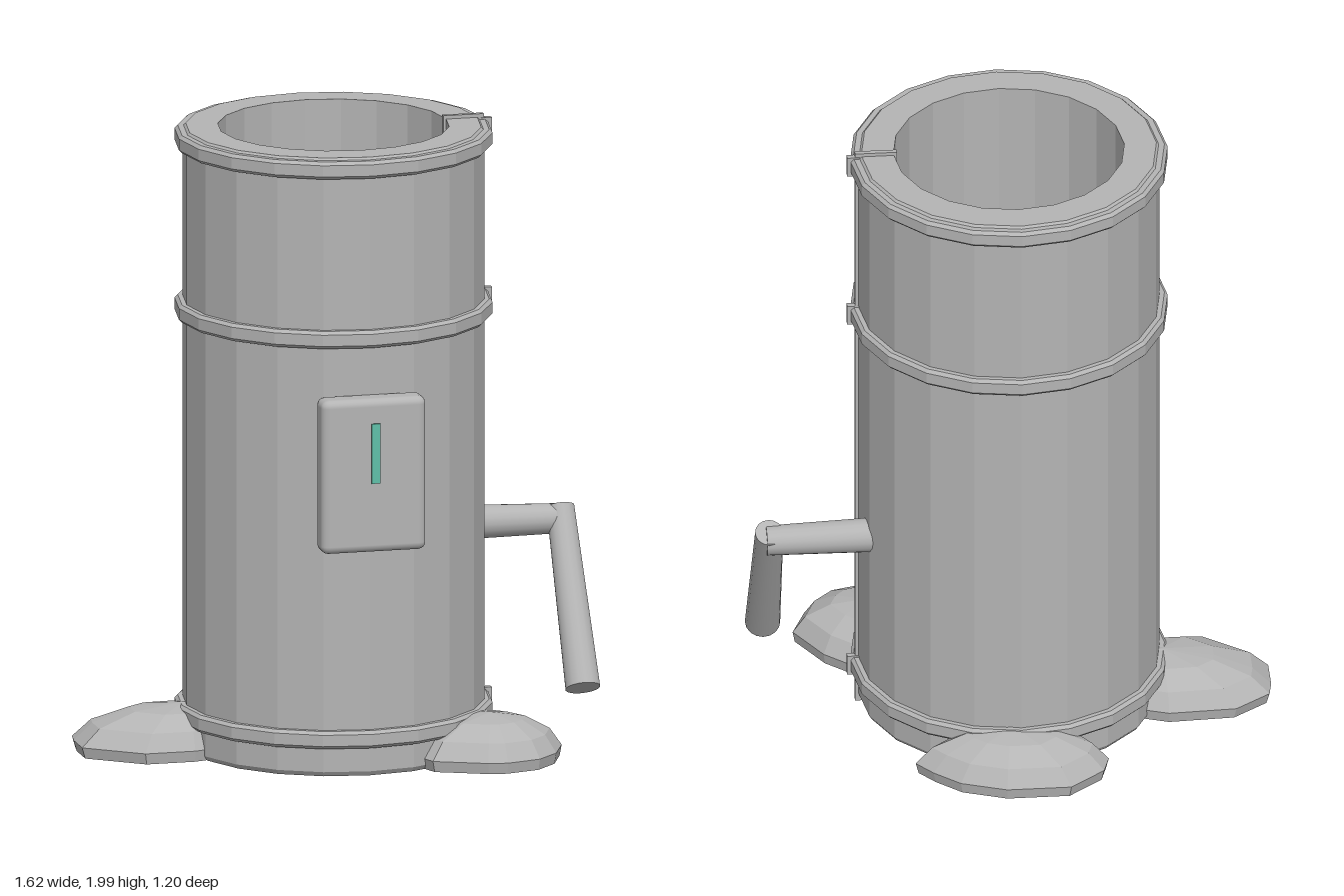
import * as THREE from 'three';
import { RoundedBoxGeometry } from 'three/addons/geometries/RoundedBoxGeometry.js';

const CZ = 0.05; // barrel axis
const SIDES = 20;

const grey = new THREE.MeshStandardMaterial({ color: 0xb4b4b4 });
grey.name = 'grey';
const green = new THREE.MeshStandardMaterial({ color: 0x5fc0a8 });
green.name = 'green';

function flat(geometry) {
  const g = geometry.index ? geometry.toNonIndexed() : geometry;
  g.computeVertexNormals();
  return g;
}

// Closed ring: profile [radius, y] runs up the outside and down the inside
function ring(profile) {
  const points = [...profile, profile[0]].map(([r, y]) => new THREE.Vector2(r, y));
  return flat(new THREE.LatheGeometry(points, SIDES));
}

function box(w, h, d) {
  return new THREE.BoxGeometry(w, h, d);
}

// Tapered bar between two points
function bar(a, b, ra, rb) {
  const from = new THREE.Vector3(...a), dir = new THREE.Vector3(...b).sub(from);
  const length = dir.length();
  const g = new THREE.CylinderGeometry(rb, ra, length, 16);
  g.translate(0, length / 2, 0);
  g.applyQuaternion(new THREE.Quaternion().setFromUnitVectors(new THREE.Vector3(0, 1, 0), dir.normalize()));
  return g.translate(...a);
}

// Faceted stone: an outline [x, z] shrinking towards a peak, with a flat base
function stone(outline, peak) {
  const layers = [[0.015, 0.97], [0.05, 1], [0.105, 0.83], [0.148, 0.48]];
  const n = outline.length, pos = [], index = [];
  for (const [y, s] of layers) {
    for (const [x, z] of outline) {
      pos.push(peak[0] + (x - peak[0]) * s, y, peak[1] + (z - peak[1]) * s);
    }
  }
  const top = layers.length * n, base = top + 1;
  pos.push(peak[0], 0.165, peak[1], peak[0], 0.015, peak[1]);
  for (let i = 0; i < n; i++) {
    const j = (i + 1) % n;
    for (let k = 0; k < layers.length - 1; k++) {
      const a = k * n + i, b = k * n + j;
      index.push(a, a + n, b, b, a + n, b + n);
    }
    index.push(top - n + i, top, top - n + j, base, i, j);
  }
  const g = new THREE.BufferGeometry();
  g.setAttribute('position', new THREE.Float32BufferAttribute(pos, 3));
  g.setIndex(index);
  return flat(g);
}

export function createModel() {
  const model = new THREE.Group();
  model.name = 'barrelMachine';
  const add = (name, geometry, material, x = 0, y = 0, z = 0) => {
    const mesh = new THREE.Mesh(geometry, material);
    mesh.name = name;
    mesh.position.set(x, y, z);
    model.add(mesh);
    return mesh;
  };

  // Hollow barrel, open at both ends
  add('barrel', ring([[0.46, 0.015], [0.47, 0.03], [0.47, 1.975], [0.46, 1.985], [0.36, 1.985], [0.36, 0.015]]), grey, 0, 0, CZ);

  // Chamfered hoops, each with a clasp over the seam
  for (const [name, y] of [['lowerHoop', 0.135], ['middleHoop', 1.41], ['topHoop', 1.95]]) {
    const h = 0.028;
    add(name, ring([[0.46, -h], [0.485, -h], [0.495, -h + 0.01], [0.495, h - 0.01], [0.485, h], [0.46, h]]), grey, 0, y, CZ);
    add(name + 'Clasp', box(0.04, 0.066, 0.02), grey, 0.485, y, CZ);
  }

  // Thin seam strip looping around the wall
  add('outerSeam', box(0.02, 1.98, 0.016), grey, 0.47, 1.0, CZ);
  add('innerSeam', box(0.014, 1.98, 0.016), grey, 0.357, 1.0, CZ);
  add('topSeam', box(0.13, 0.016, 0.016), grey, 0.415, 1.988, CZ);
  add('bottomSeam', box(0.13, 0.014, 0.016), grey, 0.415, 0.012, CZ);

  // Front panel with coin slot
  add('panel', new RoundedBoxGeometry(0.335, 0.49, 0.09, 2, 0.025), grey, -0.003, 0.985, 0.54);
  add('slot', box(0.028, 0.19, 0.006), green, -0.003, 1.06, 0.599);

  // Crank
  add('crankAxle', bar([0.4, 0.67, -0.06], [0.765, 0.665, -0.06], 0.055, 0.047), grey);
  add('crankArm', bar([0.757, 0.7, -0.07], [0.752, 0.19, 0.235], 0.044, 0.055), grey);

  // Stones at the foot
  add('leftStone', stone([
    [-0.81, -0.04], [-0.81, 0.07], [-0.64, 0.2], [-0.48, 0.2], [-0.28, 0.14],
    [-0.27, 0.0], [-0.28, -0.12], [-0.48, -0.19], [-0.69, -0.18], [-0.8, -0.1],
  ].reverse(), [-0.47, 0.01]).scale(1, 1, 1), grey);
  add('frontStone', stone([
    [0.14, 0.36], [0.14, 0.3], [0.25, 0.19], [0.32, 0.14], [0.48, 0.18], [0.56, 0.25],
    [0.645, 0.39], [0.6, 0.5], [0.53, 0.57], [0.42, 0.6], [0.36, 0.59], [0.2, 0.52],
  ], [0.42, 0.38]), grey);
  add('backStone', stone([
    [-0.27, -0.44], [-0.25, -0.51], [-0.14, -0.6], [0.06, -0.6], [0.2, -0.55], [0.28, -0.48],
    [0.33, -0.42], [0.27, -0.37], [0.15, -0.24], [0.05, -0.2], [-0.05, -0.23], [-0.2, -0.34],
  ], [0.03, -0.41]), grey);

  return model;
}
